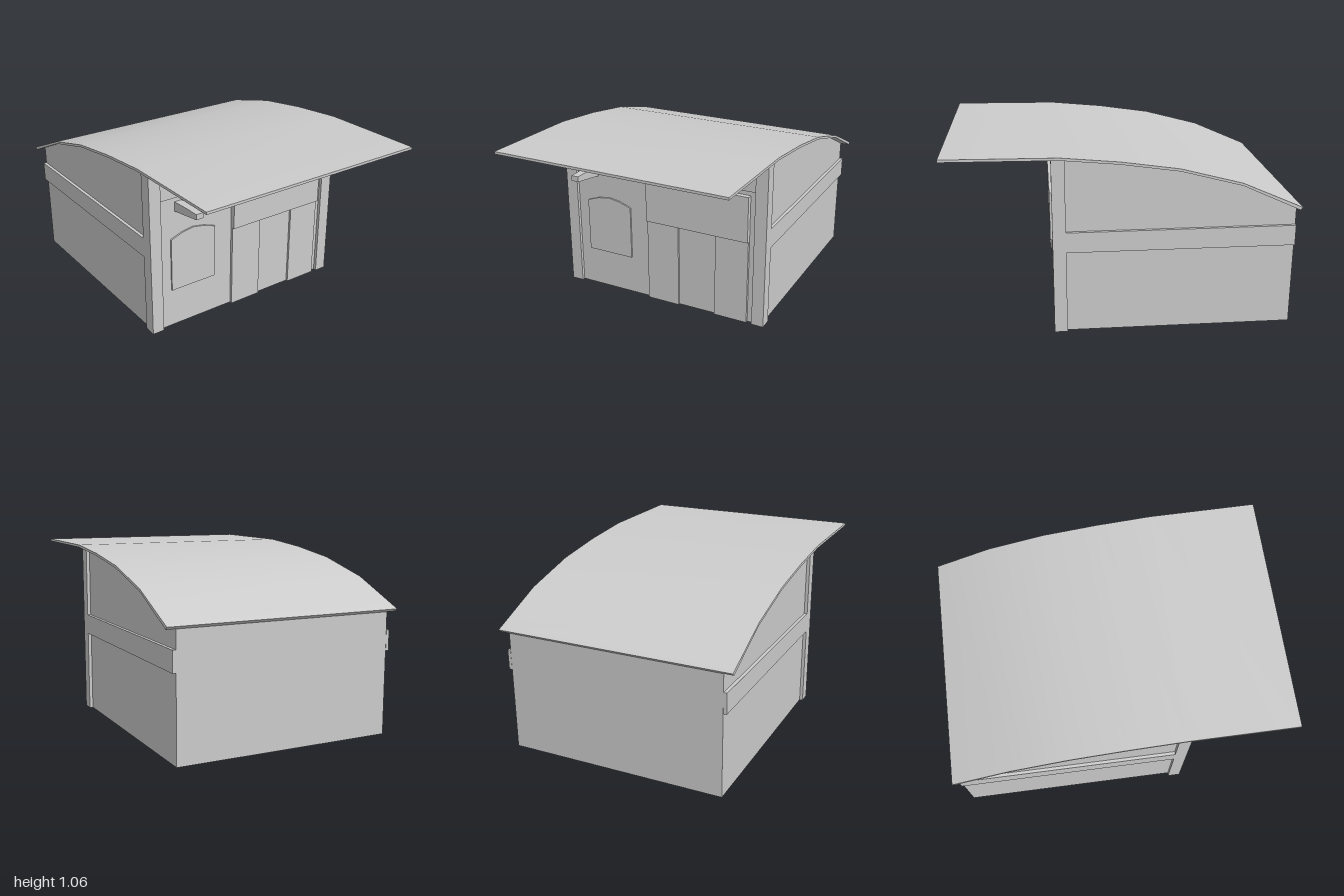
import * as THREE from 'three';
import { toCreasedNormals } from 'three/addons/utils/BufferGeometryUtils.js';

const grey = new THREE.MeshStandardMaterial({ color: 0xcccccc });
const greyDouble = new THREE.MeshStandardMaterial({ color: 0xcccccc, side: THREE.DoubleSide });

// Curve of the roof's top, from the back eave to the front overhang
const roofLine = [[-1, 0.73], [-0.65, 0.883], [-0.3, 0.975], [0.03, 1.023], [0.36, 1.054], [1, 1.06]];
const THICK = 0.015;
const BACK = -0.98, FACADE = 0.385, FRONT = 0.405;
const WALL_Z = 0.655, TRIM_Z = 0.675;

// Height of the roof's underside at x
function underRoof(x) {
  const i = Math.max(1, roofLine.findIndex(p => p[0] >= x));
  const [a, b] = [roofLine[i - 1], roofLine[i]];
  return a[1] + (b[1] - a[1]) * (x - a[0]) / (b[0] - a[0]) - THICK;
}

const shapeOf = points => new THREE.Shape(points.map(p => new THREE.Vector2(...p)));

export function createModel() {
  const group = new THREE.Group();

  function add(name, geometry, material = grey) {
    const mesh = new THREE.Mesh(geometry, material);
    mesh.name = name;
    group.add(mesh);
    return mesh;
  }

  // Box given by its limits on each axis
  function box(name, [x0, x1], [y0, y1], [z0, z1]) {
    add(name, new THREE.BoxGeometry(x1 - x0, y1 - y0, z1 - z0))
      .position.set((x0 + x1) / 2, (y0 + y1) / 2, (z0 + z1) / 2);
  }

  // Side profile extruded across z
  function profile(name, points, z0, z1) {
    const geometry = new THREE.ExtrudeGeometry(shapeOf(points), { depth: z1 - z0, bevelEnabled: false });
    geometry.translate(0, 0, z0);
    add(name, toCreasedNormals(geometry, 0.5));
  }

  // Curved roof slab
  const underside = roofLine.map(([x, y]) => [x === -1 ? x + 0.015 : x, y - THICK]).reverse();
  profile('roof', [...roofLine, ...underside], -0.712, 0.712);

  // Thin side walls following the roof, with their belt bands and corner pillars
  const top = [BACK, -0.65, -0.3, 0.03, 0.36, FACADE].map(x => [x, underRoof(x)]);
  const sideShape = shapeOf([[BACK, 0], ...top, [FACADE, 0]]);
  for (const [side, s] of [['left', 1], ['right', -1]]) {
    const across = (a, b) => (s > 0 ? [a, b] : [-b, -a]);
    add(side + 'Wall', new THREE.ShapeGeometry(sideShape), greyDouble).position.z = s * WALL_Z;
    box(side + 'Band', [BACK, 0.34], [0.49, 0.61], across(WALL_Z + 0.001, TRIM_Z));
    box(side + 'Pillar', [0.33, FRONT], [0, 1.041], across(0.6, TRIM_Z));
  }

  // Back wall and front wall
  function crossWall(name, x, height, turn) {
    const wall = add(name, new THREE.PlaneGeometry(2 * WALL_Z, height), greyDouble);
    wall.position.set(x, height / 2, 0);
    wall.rotation.y = turn * Math.PI / 2;
  }
  crossWall('backWall', BACK, underRoof(BACK), -1);
  crossWall('frontWall', FACADE, underRoof(FACADE), 1);

  // Beam over the front
  box('frontBeam', [FACADE - 0.005, 0.397], [0.84, 0.97], [-0.6, 0.6]);

  // Entrance: header panel above three door panels, the middle one set back
  box('headerPanel', [FACADE - 0.005, 0.416], [0.53, 0.812], [-0.565, 0.1]);
  const doors = [[-0.11, 0.1, 0.402], [-0.355, -0.11, 0.389], [-0.565, -0.355, 0.402]];
  doors.forEach(([z0, z1, x]) => box('doorPanel', [FACADE - 0.005, x], [0, 0.53], [z0, z1]));

  // Window with a shallow arched head
  const arch = [[-0.53, 0.245], [-0.225, 0.245], [-0.225, 0.58], [-0.3, 0.607],
    [-0.3775, 0.62], [-0.455, 0.607], [-0.53, 0.58]];
  const pane = new THREE.ExtrudeGeometry(shapeOf(arch), { depth: 0.015, bevelEnabled: false });
  pane.rotateY(Math.PI / 2);
  add('archedWindow', pane).position.x = FACADE - 0.005;

  // Tapered bracket lamp beside the entrance
  profile('lampArm', [[FACADE, 0.75], [0.6, 0.785], [0.6, 0.818], [0.53, 0.818], [FACADE, 0.81]], 0.45, 0.497);

  return group;
}
